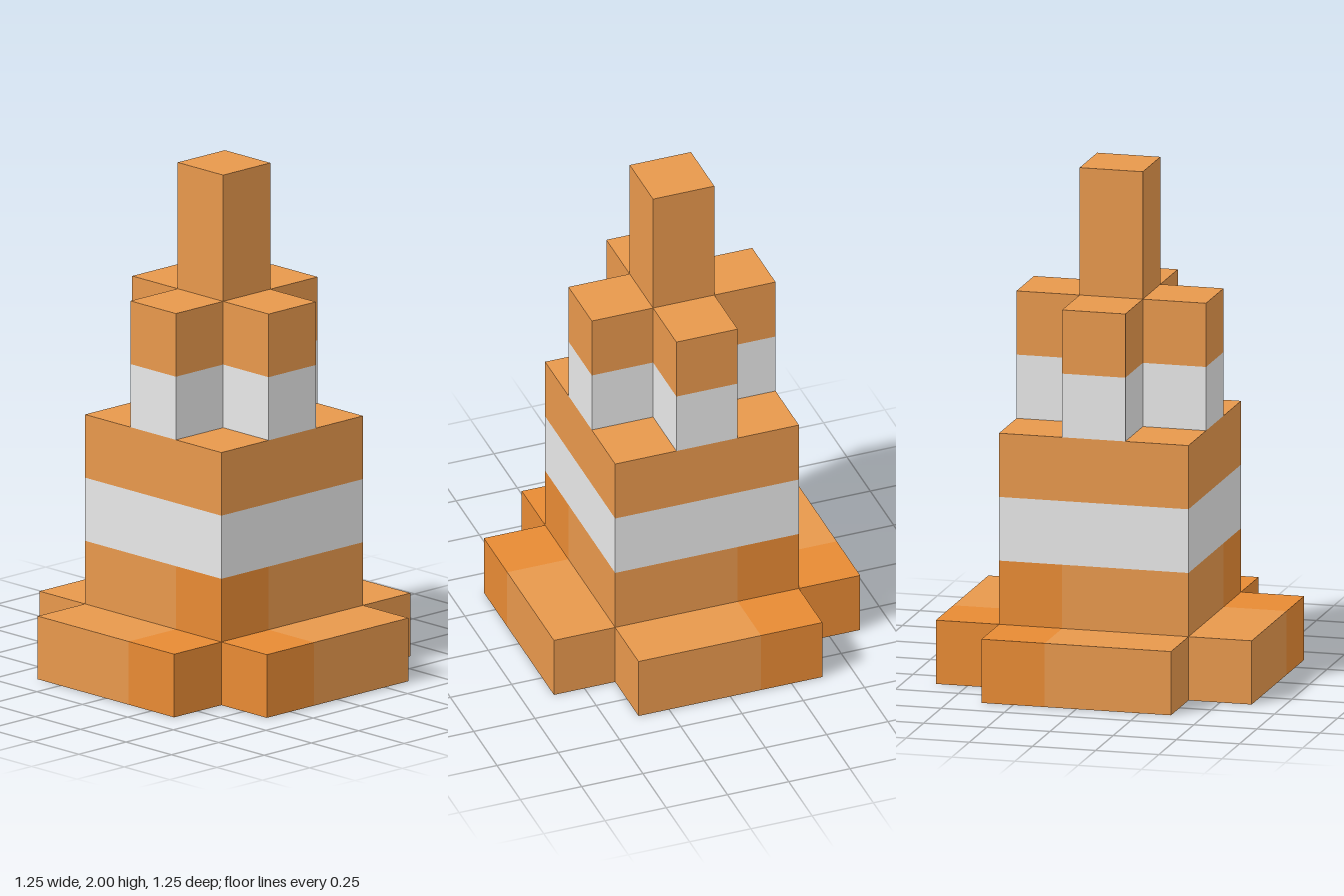
import * as THREE from 'three';

const U = 0.25; // one block

export function createModel() {
  const model = new THREE.Group();
  model.name = 'blockyRoadCone';

  const material = (name, color) => {
    const m = new THREE.MeshStandardMaterial({ color });
    m.name = name;
    return m;
  };
  const orange = material('orange', 0xffa855);
  const deepOrange = material('deepOrange', 0xff993a);
  const white = material('white', 0xffffff);

  const add = (name, geometry, mat, x, y, z) => {
    const mesh = new THREE.Mesh(geometry, mat);
    mesh.name = name;
    mesh.position.set(x * U, y * U, z * U);
    model.add(mesh);
  };
  // Box sized and placed in blocks: centre x, z and underside y
  const block = (name, mat, [w, h, d], x, y, z) =>
    add(name, new THREE.BoxGeometry(w * U, h * U, d * U), mat, x, y + h / 2, z);

  // One-block-high slab with a one-block square hole through its middle
  const ring = (name, mat, outline, y) => {
    const points = (list) => list.map(([x, z]) => new THREE.Vector2(x * U, -z * U));
    const shape = new THREE.Shape(points(outline));
    const h = 0.5;
    shape.holes.push(new THREE.Path(points([[-h, -h], [h, -h], [h, h], [-h, h]])));
    const geometry = new THREE.ExtrudeGeometry(shape, { depth: U, bevelEnabled: false });
    geometry.rotateX(-Math.PI / 2);
    add(name, geometry, mat, 0, y, 0);
  };

  // Base: four feet around an open square, each with one deeper block
  for (const s of [-1, 1]) {
    block('baseFoot', orange, [2, 1, 1], s * 0.5, 0, s * 2);
    block('baseFootEnd', deepOrange, [1, 1, 1], -s, 0, s * 2);
    block('baseFoot', orange, [1, 1, 2], s * 2, 0, s * 0.5);
    block('baseFootEnd', deepOrange, [1, 1, 1], s * 2, 0, -s);
  }

  // Hollow lower body: bottom layer has two deeper corners
  const a = 1.5, b = 0.5;
  const square = [[-a, a], [a, a], [a, -a], [-a, -a]];
  const notched = [[-b, a], [a, a], [a, -b], [b, -b], [b, -a], [-a, -a], [-a, b], [-b, b]];
  // the notches meet the hole, so this layer is built from two L-shaped halves
  for (const s of [-1, 1]) {
    block('bodyBottomSide', orange, [2, 1, 1], s * 0.5, 1, s);
    block('bodyBottomSide', orange, [1, 1, 1], s, 1, 0);
    block('bodyBottomCorner', deepOrange, [1, 1, 1], s, 1, -s);
  }
  ring('lowerWhiteBand', white, square, 2);
  ring('bodyTop', orange, square, 3);

  // Upper body: four banded arms in a plus
  for (const [x, z] of [[1, 0], [-1, 0], [0, 1], [0, -1]]) {
    block('upperWhiteBand', white, [1, 1, 1], x, 4, z);
    block('upperArmTop', orange, [1, 1, 1], x, 5, z);
  }

  // Tip
  block('tip', orange, [1, 2, 1], 0, 6, 0);

  return model;
}
